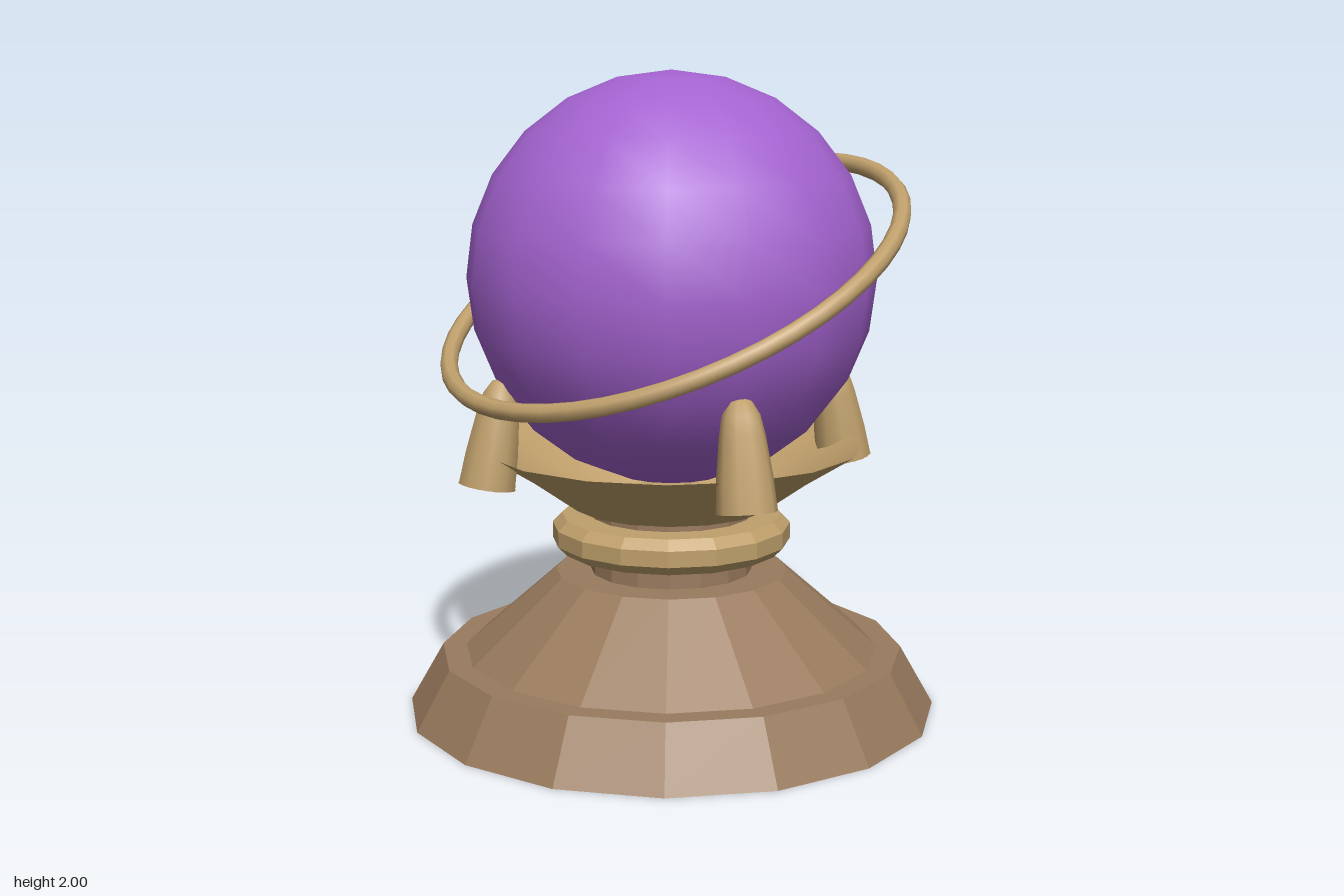
import * as THREE from 'three';

export function createModel() {
  const model = new THREE.Group();
  const brown = new THREE.MeshStandardMaterial({ color: 0x9a7b5e, flatShading: true });
  brown.name = 'brown wood';
  const gold = new THREE.MeshStandardMaterial({ color: 0xc0a06c, side: THREE.DoubleSide });
  gold.name = 'aged gold';
  const purple = new THREE.MeshStandardMaterial({ color: 0xa463d0 });
  purple.name = 'purple glass';

  const SIDES = 16;
  const CENTRE = 1.365; // height of the orb's centre

  const add = (name, geometry, material, parent = model) => {
    const mesh = new THREE.Mesh(geometry, material);
    mesh.name = name;
    parent.add(mesh);
    return mesh;
  };
  const lathe = (points, sides) =>
    new THREE.LatheGeometry(points.map(([x, y]) => new THREE.Vector2(x, y)), sides);
  const tier = (name, rTop, rBottom, y0, y1) => {
    const g = new THREE.CylinderGeometry(rTop, rBottom, y1 - y0, SIDES);
    add(name, g, brown).position.y = (y0 + y1) / 2;
  };

  // Faceted wooden stand
  tier('foot', 0.73, 0.835, 0, 0.185);
  tier('slope', 0.365, 0.655, 0.185, 0.44);
  tier('neck', 0.255, 0.255, 0.44, 0.65);

  // Bevelled collar round the neck, split into facets
  const collar = lathe([
    [0.25, 0.51], [0.345, 0.51], [0.375, 0.54], [0.375, 0.59], [0.345, 0.62], [0.25, 0.62],
  ], SIDES).toNonIndexed();
  collar.computeVertexNormals();
  add('collar', collar, gold);

  // Flared cup with a closed floor
  add('cup', lathe([[0.31, 0.65], [0.45, 0.75], [0.6, 0.845]], SIDES), gold);
  const floor = add('cupFloor', new THREE.CircleGeometry(0.31, SIDES), gold);
  floor.rotation.x = Math.PI / 2;
  floor.position.y = 0.65;

  // Orb
  add('orb', new THREE.SphereGeometry(0.635, SIDES, 12), purple).position.y = CENTRE;

  // Four tapering claws leaning inward on the diagonals
  const clawShape = lathe([
    [0.09, 0], [0.083, 0.1], [0.068, 0.22], [0.056, 0.28], [0.034, 0.32], [0, 0.335],
  ], 10);
  const clawEnd = new THREE.CircleGeometry(0.09, 10).rotateX(Math.PI / 2);
  for (let i = 0; i < 4; i++) {
    const pivot = new THREE.Group();
    pivot.name = 'claw' + (i + 1);
    pivot.rotation.y = Math.PI / 4 + i * Math.PI / 2;
    const claw = new THREE.Group();
    claw.position.set(0, 0.755, 0.6);
    claw.rotation.x = -0.17;
    add('clawBody', clawShape, gold, claw);
    add('clawEnd', clawEnd, gold, claw);
    pivot.add(claw);
    model.add(pivot);
  }

  // Tilted ring circling the orb
  const ring = add('orbitRing', new THREE.TorusGeometry(0.743, 0.028, 8, 48), gold);
  ring.position.y = CENTRE;
  ring.quaternion.setFromUnitVectors(
    new THREE.Vector3(0, 0, 1), new THREE.Vector3(-0.207, 0.894, 0.397).normalize());

  return model;
}
